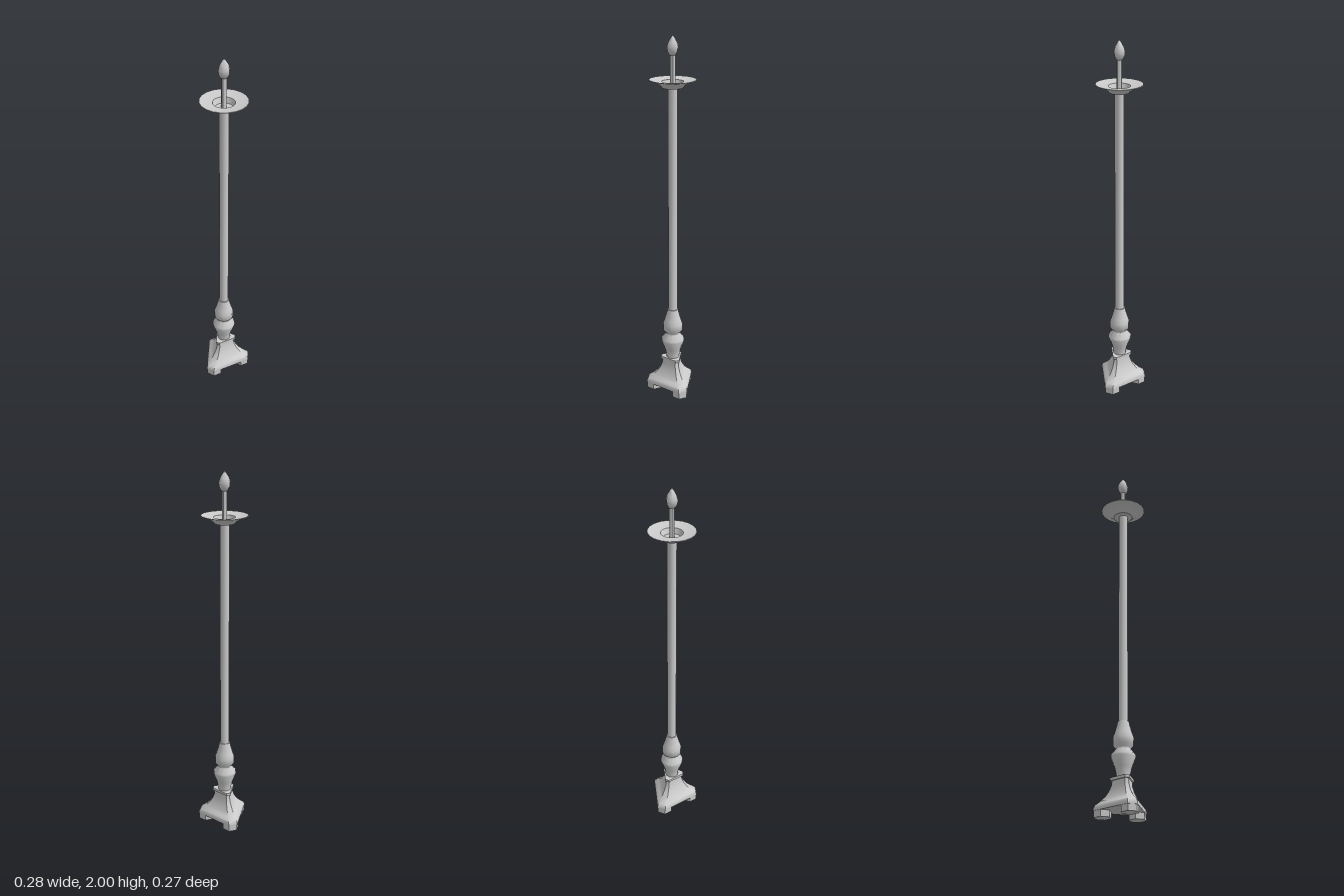
import * as THREE from 'three';
import { toCreasedNormals } from 'three/addons/utils/BufferGeometryUtils.js';

const material = new THREE.MeshStandardMaterial({ color: 0xcccccc, side: THREE.DoubleSide });

function addPart(parent, name, geometry, crease) {
  const mesh = new THREE.Mesh(toCreasedNormals(geometry, crease), material);
  mesh.name = name;
  parent.add(mesh);
  return mesh;
}

// Turned part from [radius, height] pairs, listed upwards along the outside
function turned(profile, sides) {
  return new THREE.LatheGeometry(profile.map(([r, y]) => new THREE.Vector2(r, y)), sides);
}

// Triangle with cut corners, one corner pointing back; [x, z] counter-clockwise from above
function cutTriangle() {
  const points = [];
  for (let k = 0; k < 3; k++) {
    const a = Math.PI / 3 + (k * 2 * Math.PI) / 3;
    for (const w of [-0.025, 0.025]) {
      points.push([
        0.147 * Math.sin(a) + w * Math.cos(a),
        0.147 * Math.cos(a) - w * Math.sin(a),
      ]);
    }
  }
  return points;
}

// Stack of scaled outlines, given as [scale, height]; scale 0 closes an end
function stacked(outline, levels) {
  const n = outline.length;
  const positions = [];
  const index = [];
  for (const [s, y] of levels) for (const [x, z] of outline) positions.push(x * s, y, z * s);
  for (let i = 0; i < levels.length - 1; i++) {
    for (let j = 0; j < n; j++) {
      const a = i * n + j;
      const b = i * n + ((j + 1) % n);
      index.push(a, b, b + n, a, b + n, a + n);
    }
  }
  const geometry = new THREE.BufferGeometry();
  geometry.setAttribute('position', new THREE.Float32BufferAttribute(positions, 3));
  geometry.setIndex(index);
  return geometry;
}

export function createModel() {
  const model = new THREE.Group();
  model.name = 'candleStand';
  const stand = new THREE.Group();
  stand.name = 'stand';
  stand.position.z = 0.01; // the axis sits slightly forward of the centre
  model.add(stand);

  // Three six-sided feet
  for (let k = 0; k < 3; k++) {
    const a = Math.PI / 3 + (k * 2 * Math.PI) / 3;
    const foot = addPart(stand, 'foot' + (k + 1), new THREE.CylinderGeometry(0.046, 0.046, 0.036, 6), 0.5);
    foot.position.set(0.105 * Math.sin(a), 0.018, 0.105 * Math.cos(a));
    foot.rotation.y = a + Math.PI / 6;
  }

  // Flared three-cornered base and the plate on top of it
  const outline = cutTriangle();
  addPart(stand, 'base', stacked(outline, [
    [0, 0.034], [1, 0.034], [1, 0.045], [0.95, 0.06], [0.77, 0.08], [0.61, 0.102],
    [0.48, 0.13], [0.4, 0.16], [0.38, 0.185],
  ]), 0.8);
  addPart(stand, 'basePlate', stacked(outline, [
    [0, 0.184], [0.45, 0.184], [0.45, 0.199], [0, 0.199],
  ]), 0.6);

  // Turned baluster below the shaft
  addPart(stand, 'baluster', turned([
    [0.036, 0.198], [0.037, 0.215], [0.045, 0.25], [0.065, 0.302], [0.064, 0.315], [0.039, 0.345],
    [0.04, 0.352], [0.054, 0.366], [0.055, 0.405], [0.046, 0.43], [0.034, 0.472], [0.03, 0.492], [0, 0.492],
  ], 12), 0.9);

  // Long round shaft
  const shaft = addPart(stand, 'shaft', new THREE.CylinderGeometry(0.025, 0.025, 1.25, 12), 0.9);
  shaft.position.y = 1.11;

  // Shallow drip dish with a sunken centre
  addPart(stand, 'dripDish', turned([
    [0, 1.733], [0.053, 1.733], [0.088, 1.764], [0.124, 1.773],
    [0.123, 1.776], [0.086, 1.768], [0.057, 1.766], [0.046, 1.738], [0, 1.738],
  ], 20), 0.6);

  // Candle and flame
  const candle = addPart(stand, 'candle', new THREE.CylinderGeometry(0.014, 0.014, 0.165, 8), 0.9);
  candle.position.y = 1.818;
  const flame = addPart(stand, 'flame', turned([
    [0, 1.892], [0.018, 1.9], [0.029, 1.92], [0.032, 1.942], [0.026, 1.962], [0.012, 1.985], [0, 2],
  ], 6), 1.2);
  flame.rotation.y = Math.PI / 6;

  return model;
}
